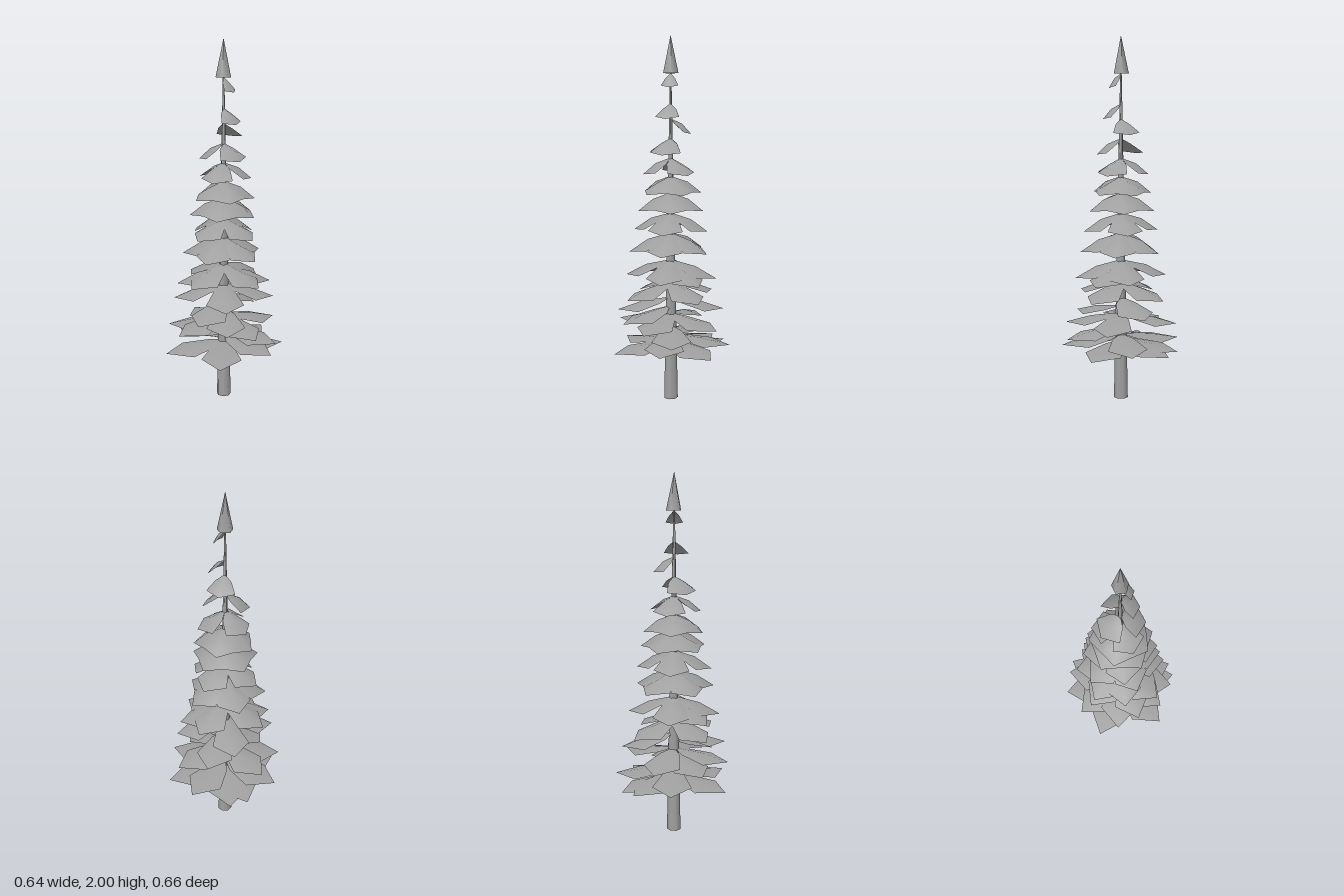
import * as THREE from 'three';

// One drooping, ridged bough along +x: a fan of faces around its ridge point
function boughGeometry(length, droop) {
  const half = Math.min(0.075 + 0.1 * length, 0.7 * length);
  const outline = [
    [0, 0, 0],         // root
    [0.2, -0.36, 0.55], // shoulder
    [0.62, -0.87, 1],  // side corner
    [1, -1, 0],        // tip
    [0.62, -0.87, -1],
    [0.2, -0.36, -0.55],
    [0.55, -0.34, 0],  // ridge
  ];
  const g = new THREE.BufferGeometry();
  g.setFromPoints(outline.map(([x, y, z]) => new THREE.Vector3(x * length, y * droop, z * half)));
  const index = [];
  for (let i = 0; i < 6; i++) index.push(i, (i + 1) % 6, 6);
  g.setIndex(index);
  g.computeVertexNormals();
  return g;
}

// Whorls: root height, number of boughs, angle of the first from +x towards +z
const whorls = [
  [0.335, 1, 38], [0.335, 2, 141], [0.335, 1, 208], [0.345, 1, 304],
  [0.37, 1, 0], [0.37, 2, 87], [0.42, 1, 76],
  [0.49, 1, 24], [0.49, 2, 104], [0.49, 1, 189], [0.47, 1, 235],
  [0.53, 1, 134], [0.58, 2, 165], [0.67, 4, 45], [0.77, 2, 42], [0.79, 4, 0],
  [0.94, 5, 90], [1.05, 4, 0], [1.16, 5, 5], [1.25, 5, 270], [1.35, 3, 40],
  [1.455, 1, 98], [1.455, 1, 235], [1.56, 1, 345], [1.64, 1, 95], [1.8, 1, 85],
];

export function createModel() {
  const tree = new THREE.Group();
  tree.name = 'conifer';
  const grey = new THREE.MeshStandardMaterial({ color: 0xa0a0a0, side: THREE.DoubleSide });
  grey.name = 'grey';

  // Tapering trunk
  const trunk = new THREE.Mesh(new THREE.CylinderGeometry(0.004, 0.04, 1.82, 7), grey);
  trunk.name = 'trunk';
  trunk.position.y = 0.91;
  tree.add(trunk);

  // Pointed crown
  const crown = new THREE.Mesh(new THREE.ConeGeometry(0.043, 0.2, 5), grey);
  crown.name = 'crown';
  crown.position.y = 1.9;
  crown.rotation.y = Math.PI / 2;
  tree.add(crown);

  // Boughs shorten towards the top and droop most at mid height
  for (const [y, count, start] of whorls) {
    const whorl = new THREE.Group();
    whorl.name = 'boughWhorl';
    whorl.position.y = y;
    const geometry = boughGeometry(0.4 - 0.185 * y, Math.min(0.12 * y, 0.13 - 0.03 * y));
    for (let i = 0; i < count; i++) {
      const bough = new THREE.Mesh(geometry, grey);
      bough.name = 'bough';
      bough.rotation.y = -THREE.MathUtils.degToRad(start + (i * 360) / count);
      whorl.add(bough);
    }
    tree.add(whorl);
  }
  return tree;
}
